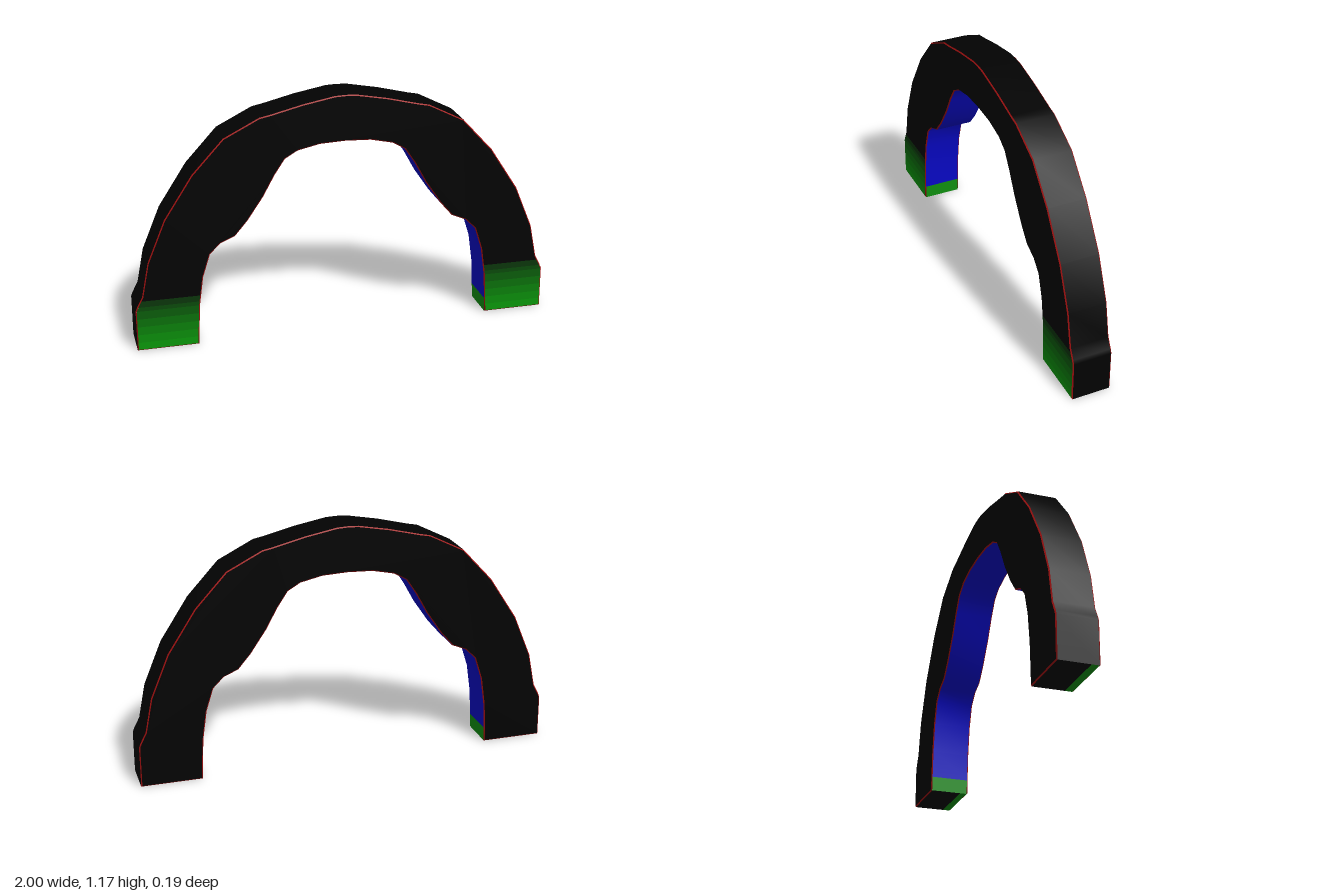
import * as THREE from 'three';

const DEPTH = 0.095, BEVEL = 0.005, WALL = DEPTH - BEVEL;

// Right half profiles, from the foot up to the crown
const OUTER = [[1, 0], [1, 0.2], [0.992, 0.22], [0.966, 0.27], [0.933, 0.435], [0.848, 0.64], [0.715, 0.845],
  [0.568, 1.005], [0.4, 1.09], [0.35, 1.1], [0.2, 1.137], [0.05, 1.165], [0, 1.167]];
const INNER = [[0.71, 0], [0.707, 0.07], [0.7, 0.2], [0.68, 0.34], [0.645, 0.45], [0.595, 0.5], [0.525, 0.53],
  [0.465, 0.6], [0.39, 0.71], [0.335, 0.81], [0.285, 0.885], [0.225, 0.92], [0.12, 0.943], [0, 0.948]];

const mat = (color) => new THREE.MeshStandardMaterial({ color });
const BLACK = mat(0x020202), RED = mat(0xa01010), BLUE = mat(0x0808c8), GREEN = mat(0x109010);

const mirrored = (half) => [...half, ...half.slice(0, -1).reverse().map(([x, y]) => [-x, y])];

// Moves every corner of a counter-clockwise outline inwards by d
function inset(ring, d) {
  const n = ring.length;
  const normal = (a, b) => new THREE.Vector2(a[1] - b[1], b[0] - a[0]).normalize();
  return ring.map((p, i) => {
    const n0 = normal(ring[(i + n - 1) % n], p), n1 = normal(p, ring[(i + 1) % n]);
    const k = d / (1 + n0.dot(n1));
    return [p[0] + (n0.x + n1.x) * k, p[1] + (n0.y + n1.y) * k];
  });
}

// Smooth strip of quads between two chains of points at two depths
function ribbon(a, za, b, zb) {
  const pos = [], index = [];
  a.forEach((p, i) => {
    pos.push(p[0], p[1], za, b[i][0], b[i][1], zb);
    if (i) {
      const k = 2 * i - 2;
      index.push(k, k + 2, k + 3, k, k + 3, k + 1);
    }
  });
  const g = new THREE.BufferGeometry();
  g.setAttribute('position', new THREE.Float32BufferAttribute(pos, 3));
  g.setIndex(index);
  g.computeVertexNormals();
  return g;
}

const face = (points) => new THREE.ShapeGeometry(new THREE.Shape(points.map(([x, y]) => new THREE.Vector2(x, y))));

// Width of a profile at height y
function xAt(profile, y) {
  for (let i = 1; i < profile.length; i++) {
    const [x0, y0] = profile[i - 1], [x1, y1] = profile[i];
    if ((y0 - y) * (y1 - y) <= 1e-9 && y0 !== y1) return x0 + (x1 - x0) * (y - y0) / (y1 - y0);
  }
  return profile[0][0];
}

export function createModel() {
  const group = new THREE.Group();
  const add = (name, geometry, material) => {
    const mesh = new THREE.Mesh(geometry, material);
    mesh.name = name;
    group.add(mesh);
    return mesh;
  };

  const outer = mirrored(OUTER), inner = mirrored(INNER).reverse();
  const ring = [...outer, ...inner], small = inset(ring, BEVEL);
  const smallOuter = small.slice(0, OUTER.length);
  const smallInner = small.slice(-INNER.length).reverse();

  // Outer and inner walls of the arch
  const wall = (name, chain, material) => add(name, ribbon(chain, -WALL, chain, WALL), material);
  wall('outerWall', outer, BLACK);
  wall('innerWall', inner.slice(1, -1), BLUE);
  wall('rightInnerFootTrim', inner.slice(0, 2), GREEN);
  wall('leftInnerFootTrim', inner.slice(-2), GREEN);

  // Soles, with a green strip along the front
  for (const [side, s] of [['left', [[0.71, 0], [1, 0]]], ['right', [[-1, 0], [-0.71, 0]]]]) {
    add(side + 'Sole', ribbon(s, -WALL, s, 0.055), BLACK);
    add(side + 'SoleTrim', ribbon(s, 0.055, s, WALL), GREEN);
  }

  // Narrow red bevels around both faces
  const loop = [...ring, ring[0]], smallLoop = [...small, small[0]];
  add('frontBevel', ribbon(loop, WALL, smallLoop, DEPTH), RED);
  add('backBevel', ribbon(smallLoop, -DEPTH, loop, -WALL), RED);

  // Back face
  const back = add('backFace', face(small), BLACK);
  back.rotation.y = Math.PI;
  back.position.z = -DEPTH;

  // Front face above the feet
  const levels = [BEVEL, 0.04, 0.08, 0.12, 0.16, 0.2, 0.22, 0.25], cut = levels[levels.length - 1];
  const above = (profile) => mirrored([[xAt(profile, cut), cut], ...profile.filter((p) => p[1] > cut)]);
  add('frontFace', face([...above(smallOuter), ...above(smallInner).reverse()]), BLACK).position.z = DEPTH;

  // Green feet fading upwards in bands
  for (let i = 1; i < levels.length; i++) {
    const y0 = levels[i - 1], y1 = levels[i];
    const fade = 1 - (y0 + y1) / 2 / 0.26;
    const material = mat(new THREE.Color(0.003, 0.003 + 0.33 * fade, 0.003));
    for (const [side, s] of [['left', 1], ['right', -1]]) {
      const band = face([[s * xAt(smallOuter, y0), y0], [s * xAt(smallOuter, y1), y1],
        [s * xAt(smallInner, y1), y1], [s * xAt(smallInner, y0), y0]]);
      add(side + 'FootBand' + i, band, material).position.z = DEPTH;
    }
  }
  return group;
}
